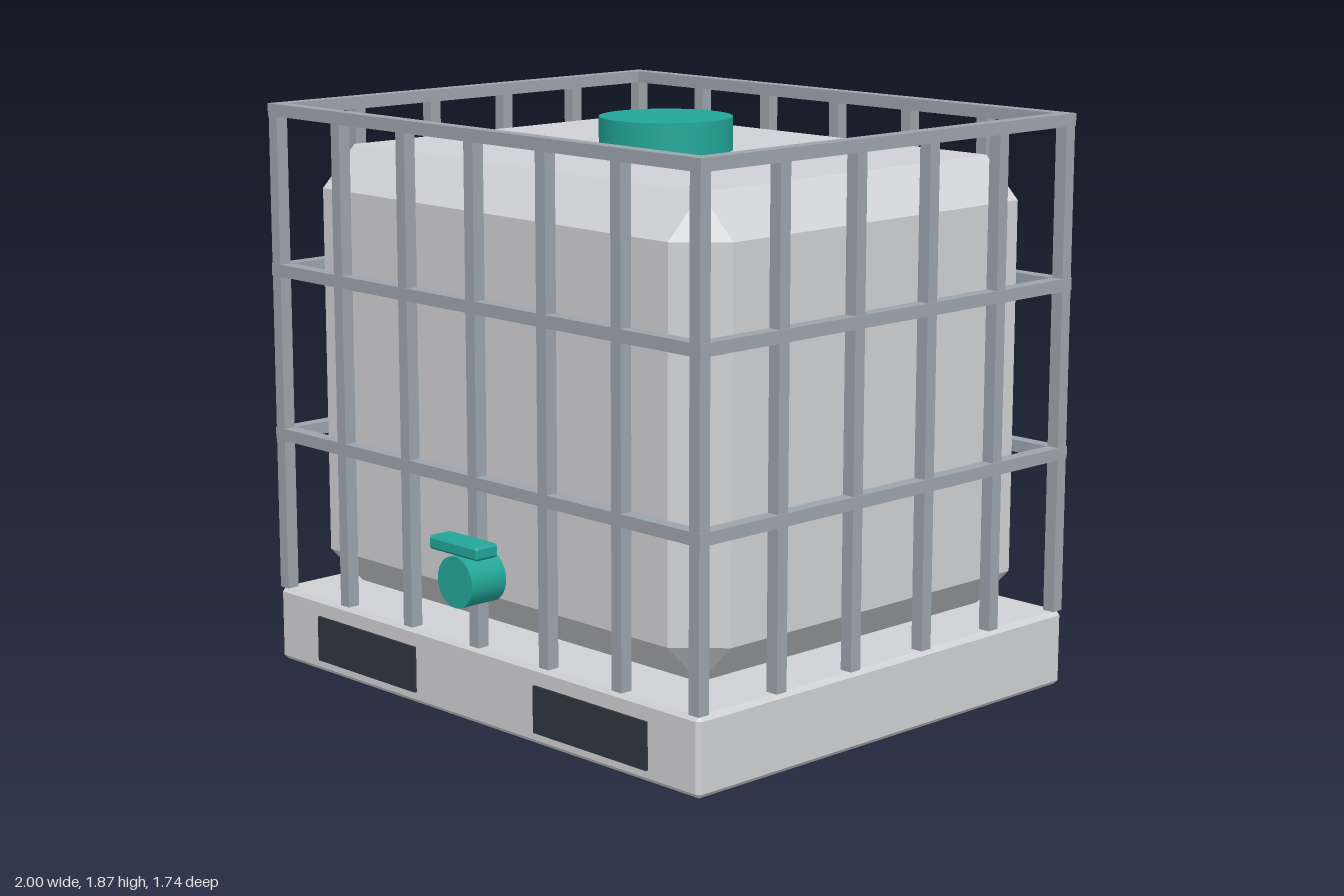
import * as THREE from 'three';
import { ConvexGeometry } from 'three/addons/geometries/ConvexGeometry.js';

function material(name, color) {
  const m = new THREE.MeshStandardMaterial({ color });
  m.name = name;
  return m;
}

// Box with every edge cut by a flat chamfer of size c
function chamferBox(w, h, d, c) {
  const points = [];
  for (const x of [-1, 1]) for (const y of [-1, 1]) for (const z of [-1, 1]) {
    const X = w / 2, Y = h / 2, Z = d / 2;
    points.push(
      new THREE.Vector3(x * X, y * (Y - c), z * (Z - c)),
      new THREE.Vector3(x * (X - c), y * Y, z * (Z - c)),
      new THREE.Vector3(x * (X - c), y * (Y - c), z * Z)
    );
  }
  return new ConvexGeometry(points);
}

export function createModel() {
  const model = new THREE.Group();
  model.name = 'liquidContainer';
  const plastic = material('pale grey plastic', 0xd0d1d4);
  const steel = material('galvanised steel', 0x9ca4ac);
  const teal = material('teal plastic', 0x22a699);
  const dark = material('dark opening', 0x2e363d);

  function add(name, geometry, mat, x, y, z, parent = model) {
    const mesh = new THREE.Mesh(geometry, mat);
    mesh.name = name;
    mesh.position.set(x, y, z);
    parent.add(mesh);
    return mesh;
  }

  const midZ = -0.04, depth = 1.66, frontZ = 0.79;

  // Pallet with two fork openings on the front
  add('pallet', chamferBox(2, 0.25, depth, 0.015), plastic, 0, 0.125, midZ);
  for (const s of [-1, 1]) {
    add('forkOpening', new THREE.BoxGeometry(0.5, 0.15, 0.009), dark, s * 0.535, 0.115, frontZ + 0.0045);
  }

  // Tank and filler cap
  add('tank', chamferBox(1.866, 1.465, 1.53, 0.132), plastic, 0, 1.0055, midZ);
  add('fillerCap', new THREE.CylinderGeometry(0.215, 0.215, 0.11, 40), teal, 0, 1.79, midZ);

  // Outlet valve
  const valve = new THREE.Group();
  valve.name = 'outletValve';
  model.add(valve);
  const spout = add('spout', new THREE.CylinderGeometry(0.082, 0.082, 0.16, 32), teal, 0, 0.472, 0.783, valve);
  spout.rotation.x = Math.PI / 2;
  add('handle', chamferBox(0.23, 0.044, 0.09, 0.008), teal, 0, 0.582, 0.827, valve);

  // Cage posts
  const cage = new THREE.Group();
  cage.name = 'cage';
  model.add(cage);
  const t = 0.042, postX = 0.976, postZ = 0.808;
  const post = new THREE.BoxGeometry(t, 1.6, t);
  for (let i = 0; i <= 5; i++) {
    const k = -1 + i * 0.4;
    for (const s of [-1, 1]) {
      if (i > 0 && i < 5) add('sidePost', post, steel, s * postX, 1.05, midZ + k * postZ, cage);
      else add('cornerPost', post, steel, s * postX, 1.05, midZ + k * postZ, cage);
    }
  }
  for (const x of [-0.65, -0.325, 0, 0.325, 0.65]) {
    for (const s of [-1, 1]) add('crossPost', post, steel, x, 1.05, midZ + s * postZ, cage);
  }

  // Cage rails
  const r = 0.046;
  for (const y of [0.776, 1.325, 1.85]) {
    for (const s of [-1, 1]) {
      add('crossRail', new THREE.BoxGeometry(2, 0.04, r), steel, 0, y, midZ + s * (depth / 2 - r / 2), cage);
      add('sideRail', new THREE.BoxGeometry(r, 0.04, depth - 2 * r), steel, s * (1 - r / 2), y, midZ, cage);
    }
  }
  return model;
}
